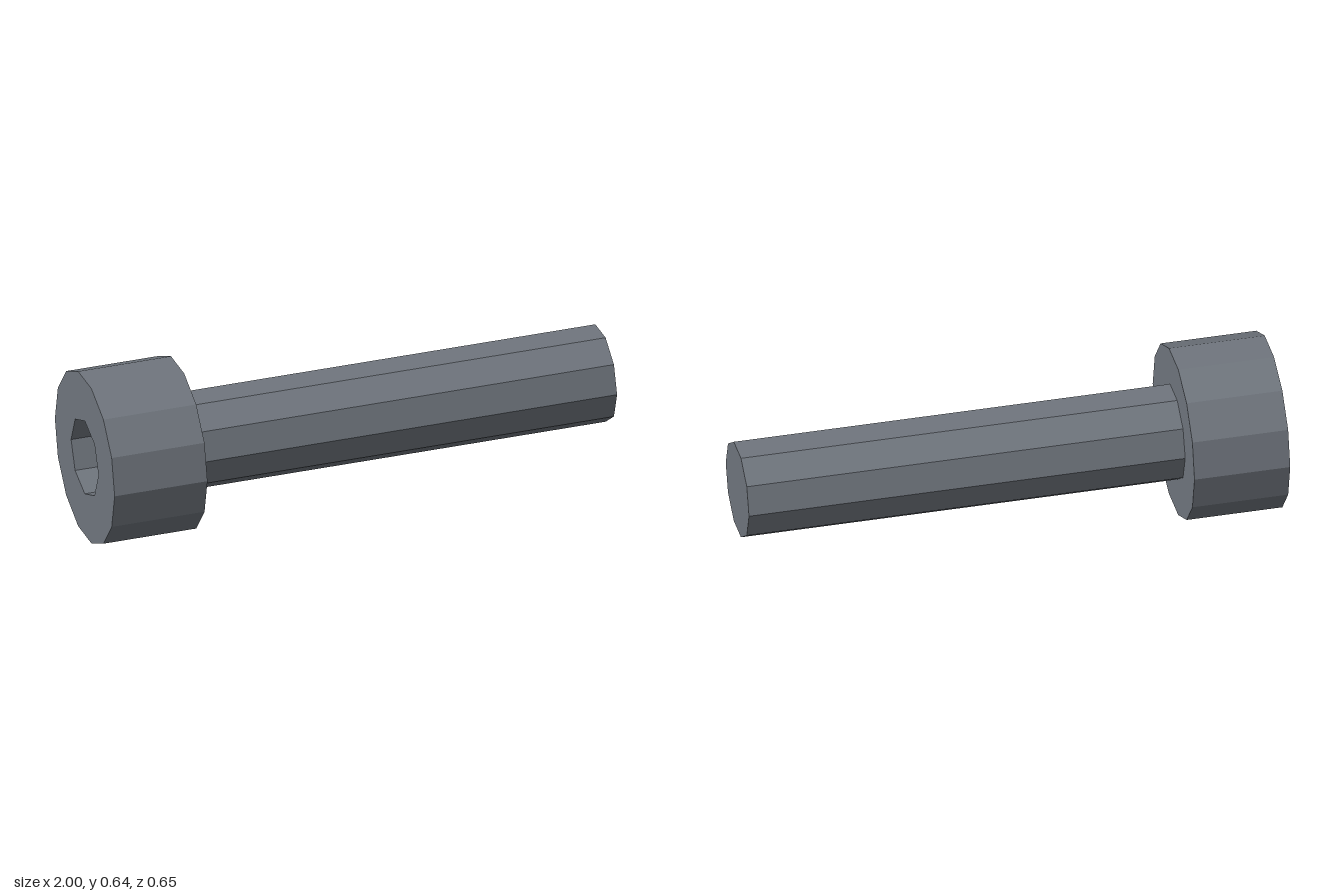
import * as THREE from 'three';

const HEAD_RADIUS = 0.327, SHAFT_RADIUS = 0.182, SOCKET_RADIUS = 0.15;
const HEAD_START = -1, HEAD_END = -0.64, SHAFT_END = 1, SOCKET_DEPTH = 0.22;
const AXIS_HEIGHT = HEAD_RADIUS * Math.cos(Math.PI / 14);

// Corners of a regular polygon, the first one on the horizontal axis
function polygon(radius, sides) {
  return Array.from({ length: sides }, (_, i) => {
    const a = (i / sides) * Math.PI * 2;
    return new THREE.Vector2(Math.cos(a) * radius, Math.sin(a) * radius);
  });
}

export function createModel() {
  const group = new THREE.Group();
  group.name = 'socketHeadBolt';

  const steel = new THREE.MeshStandardMaterial({ color: 0x70767e, flatShading: true });
  steel.name = 'darkSteel';

  // Fourteen-sided head with the key socket cut through it
  const outline = new THREE.Shape(polygon(HEAD_RADIUS, 14));
  outline.holes.push(new THREE.Path(polygon(SOCKET_RADIUS, 8).reverse()));
  const headGeometry = new THREE.ExtrudeGeometry(outline, {
    depth: HEAD_END - HEAD_START, bevelEnabled: false,
  });
  headGeometry.rotateY(Math.PI / 2);
  const head = new THREE.Mesh(headGeometry, steel);
  head.name = 'head';
  head.position.set(HEAD_START, AXIS_HEIGHT, 0);

  // Ten-sided shaft; its inner end closes the bottom of the socket
  const shaftStart = HEAD_START + SOCKET_DEPTH;
  const shaftGeometry = new THREE.CylinderGeometry(
    SHAFT_RADIUS, SHAFT_RADIUS, SHAFT_END - shaftStart, 10);
  shaftGeometry.rotateZ(-Math.PI / 2);
  const shaft = new THREE.Mesh(shaftGeometry, steel);
  shaft.name = 'shaft';
  shaft.position.set((shaftStart + SHAFT_END) / 2, AXIS_HEIGHT, 0);

  group.add(head, shaft);
  return group;
}
